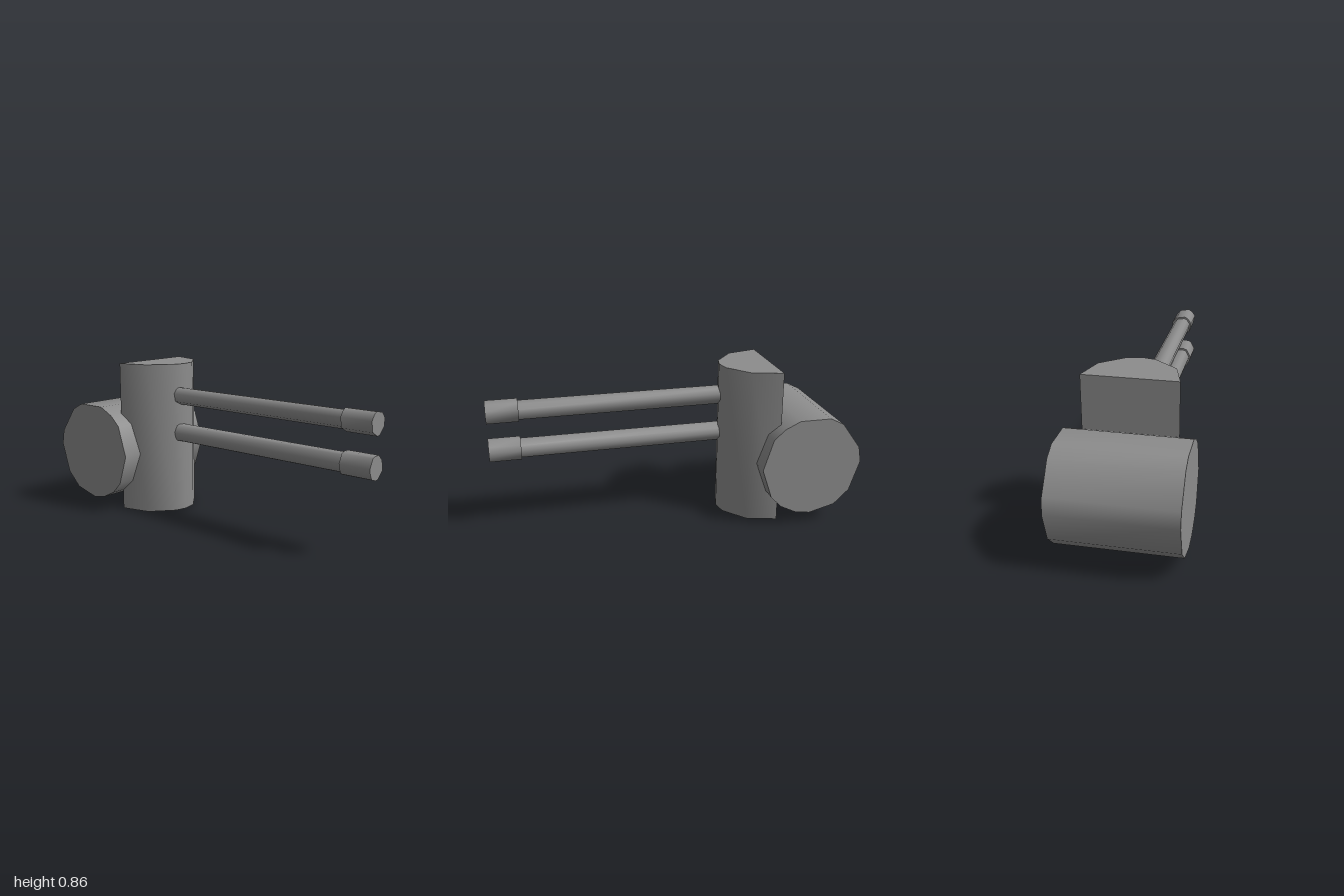
import * as THREE from 'three';
import { toCreasedNormals } from 'three/addons/utils/BufferGeometryUtils.js';

const material = new THREE.MeshStandardMaterial({ color: 0x8c8c8c });

// Straight prism along +z with softly shaded sides and sharp caps
function prism(points, depth) {
  const shape = new THREE.Shape(points.map(([x, y]) => new THREE.Vector2(x, y)));
  const geometry = new THREE.ExtrudeGeometry(shape, { depth, bevelEnabled: false });
  return toCreasedNormals(geometry, Math.PI / 3);
}

function part(name, geometry) {
  const mesh = new THREE.Mesh(geometry, material);
  mesh.name = name;
  return mesh;
}

export function createModel() {
  const model = new THREE.Group();
  model.name = 'twinBarrelTurret';

  // Upright rounded shield, profile given as (x, z)
  const shieldProfile = [
    [-0.24, -0.55], [0.25, -0.55], [0.203, -0.385], [0.08, -0.282],
    [0, -0.266], [-0.07, -0.282], [-0.195, -0.385],
  ].map(([x, z]) => [x, -z]);
  model.add(part('shield', prism(shieldProfile, 0.863).rotateX(-Math.PI / 2)));

  // Drum lying across the back, profile given as (z, y)
  const drumProfile = [
    [-0.43, 0.343], [-0.485, 0.515], [-0.545, 0.57], [-0.63, 0.611], [-0.805, 0.611],
    [-0.88, 0.573], [-0.985, 0.428], [-1, 0.343], [-0.945, 0.176], [-0.86, 0.095],
    [-0.715, 0.058], [-0.63, 0.072], [-0.545, 0.115], [-0.485, 0.177],
  ].map(([z, y]) => [-z, y]);
  const drum = prism(drumProfile, 0.644).rotateY(Math.PI / 2).translate(-0.322, 0, 0);
  model.add(part('drum', drum));

  // Two barrels with thicker muzzles, cross-sections around each axis
  const barrels = [
    {
      name: 'upperBarrel', y: 0.679,
      section: [
        [-0.018, 0.06], [0.036, 0.051], [0.061, 0.022], [0.061, -0.02], [0.02, -0.059],
        [0, -0.061], [-0.048, -0.036], [-0.06, 0.019], [-0.039, 0.049],
      ],
    },
    {
      name: 'lowerBarrel', y: 0.463,
      section: [
        [-0.06, 0.006], [-0.035, 0.054], [-0.018, 0.061], [0.02, 0.061], [0.05, 0.034],
        [0.061, 0.006], [0.061, -0.023], [0.02, -0.06], [0, -0.062], [-0.039, -0.049],
        [-0.053, -0.021],
      ],
    },
  ];
  for (const { name, y, section } of barrels) {
    const barrel = new THREE.Group();
    barrel.name = name;
    barrel.position.set(-0.025, y, 0);
    const thin = section.map(([u, v]) => [u * 0.83, v * 0.83]);
    barrel.add(part('rod', prism(thin, 1.12).translate(0, 0, -0.28)));
    barrel.add(part('muzzle', prism(section, 0.17).translate(0, 0, 0.83)));
    model.add(barrel);
  }
  return model;
}
